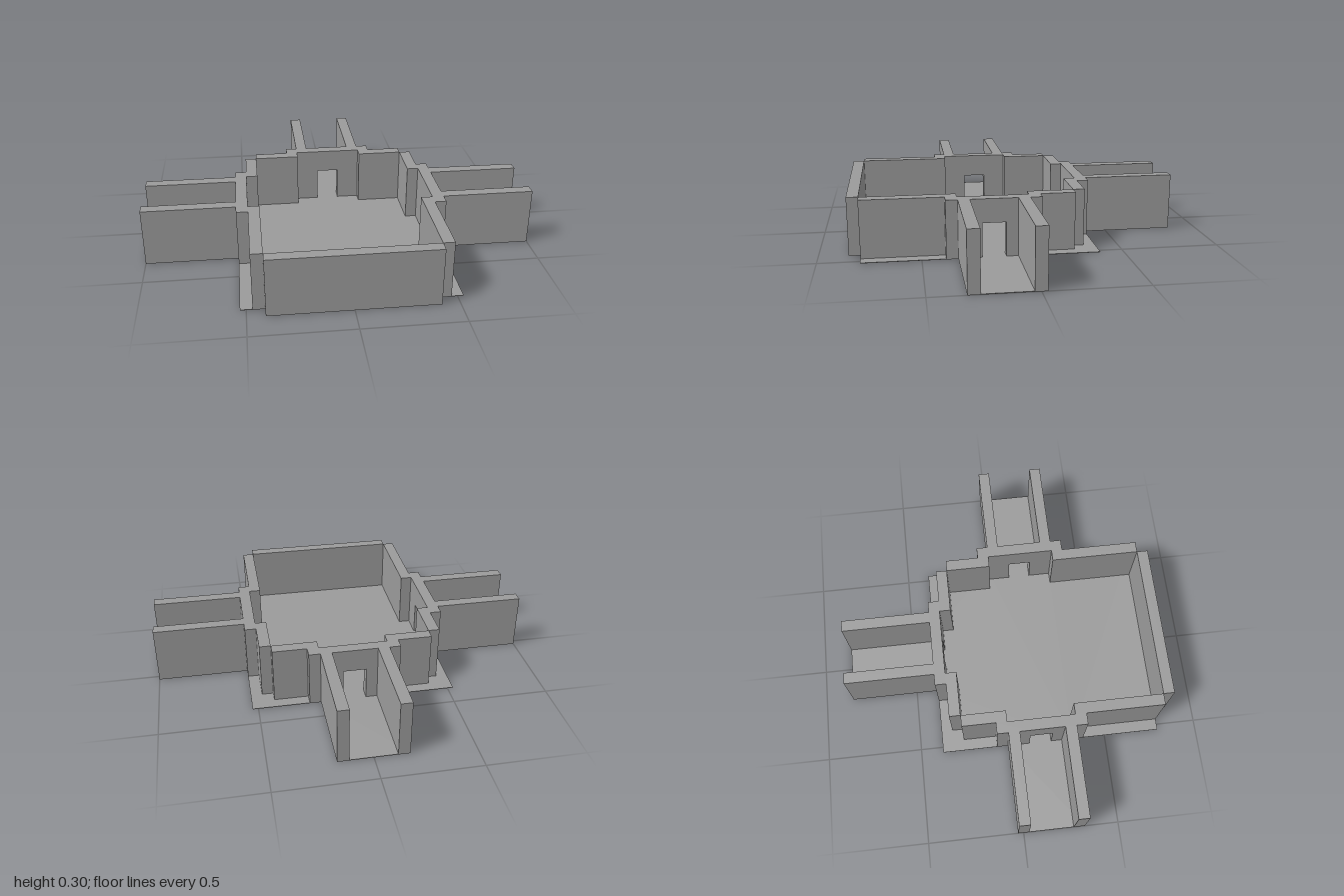
import * as THREE from 'three';

const U = 1 / 17;            // one plan cell, equal to the wall thickness
const FLOOR = 0.003;         // floor slab thickness
const TOP = 5 * U + FLOOR;   // top of the walls
const DOOR = 3 * U;          // top of the door openings

export function createModel() {
  const model = new THREE.Group();
  const material = new THREE.MeshStandardMaterial({ color: 0x9b9b9b });

  // Extrudes a plan outline, given as [x, z] cells, from height y0 up to y1.
  const addPlan = (name, outline, y0, y1) => {
    const shape = new THREE.Shape(outline.map(([x, z]) => new THREE.Vector2(x * U, -z * U)));
    const geometry = new THREE.ExtrudeGeometry(shape, { depth: y1 - y0, bevelEnabled: false });
    geometry.rotateX(-Math.PI / 2);
    const mesh = new THREE.Mesh(geometry, material);
    mesh.name = name;
    mesh.position.y = y0;
    model.add(mesh);
  };
  const rect = (x0, z0, x1, z1) => [[x0, z0], [x1, z0], [x1, z1], [x0, z1]];
  const flip = (outline) => outline.map(([x, z]) => [-x, z]);
  const addPair = (name, outline, y0, y1) => {
    addPlan(name + 'Left', outline, y0, y1);
    addPlan(name + 'Right', flip(outline), y0, y1);
  };

  // Floor of the room and its three corridors
  const halfFloor = [
    [3, -14.5], [3, -6.5], [9, -6.5], [9, -0.5], [17, -0.5],
    [17, 5.5], [9, 5.5], [9, 13.5],
  ];
  addPlan('floor', [...halfFloor, ...flip(halfFloor).reverse()], 0, FLOOR);

  // Back wall, stepped out around the rear doorway
  addPair('backWall', [
    [1, -6.5], [4, -6.5], [4, -5.5], [7, -5.5],
    [7, -4.5], [3, -4.5], [3, -5.5], [1, -5.5],
  ], FLOOR, TOP);

  // Side walls, stepped out around the side doorways
  addPair('sideWallRear', [
    [7, -4.5], [8, -4.5], [8, -1.5], [9, -1.5],
    [9, 1.5], [8, 1.5], [8, -0.5], [7, -0.5],
  ], FLOOR, TOP);
  addPair('sideWallFront', [
    [8, 3.5], [9, 3.5], [9, 6.5], [8, 6.5],
    [8, 13.5], [7, 13.5], [7, 5.5], [8, 5.5],
  ], FLOOR, TOP);

  // Solid front wall, standing on the ground in front of the floor
  addPlan('frontWall', rect(-7, 13.5, 7, 14.5), 0, TOP);

  // Lintels above the doorways
  addPlan('backLintel', rect(-1, -6.5, 1, -5.5), DOOR, TOP);
  addPair('sideLintel', rect(8, 1.5, 9, 3.5), DOOR, TOP);

  // Corridor walls
  addPair('backCorridorWall', rect(2, -14.5, 3, -6.5), FLOOR, TOP);
  addPair('sideCorridorRearWall', rect(9, -0.5, 17, 0.5), FLOOR, TOP);
  addPair('sideCorridorFrontWall', rect(9, 4.5, 17, 5.5), FLOOR, TOP);

  return model;
}
